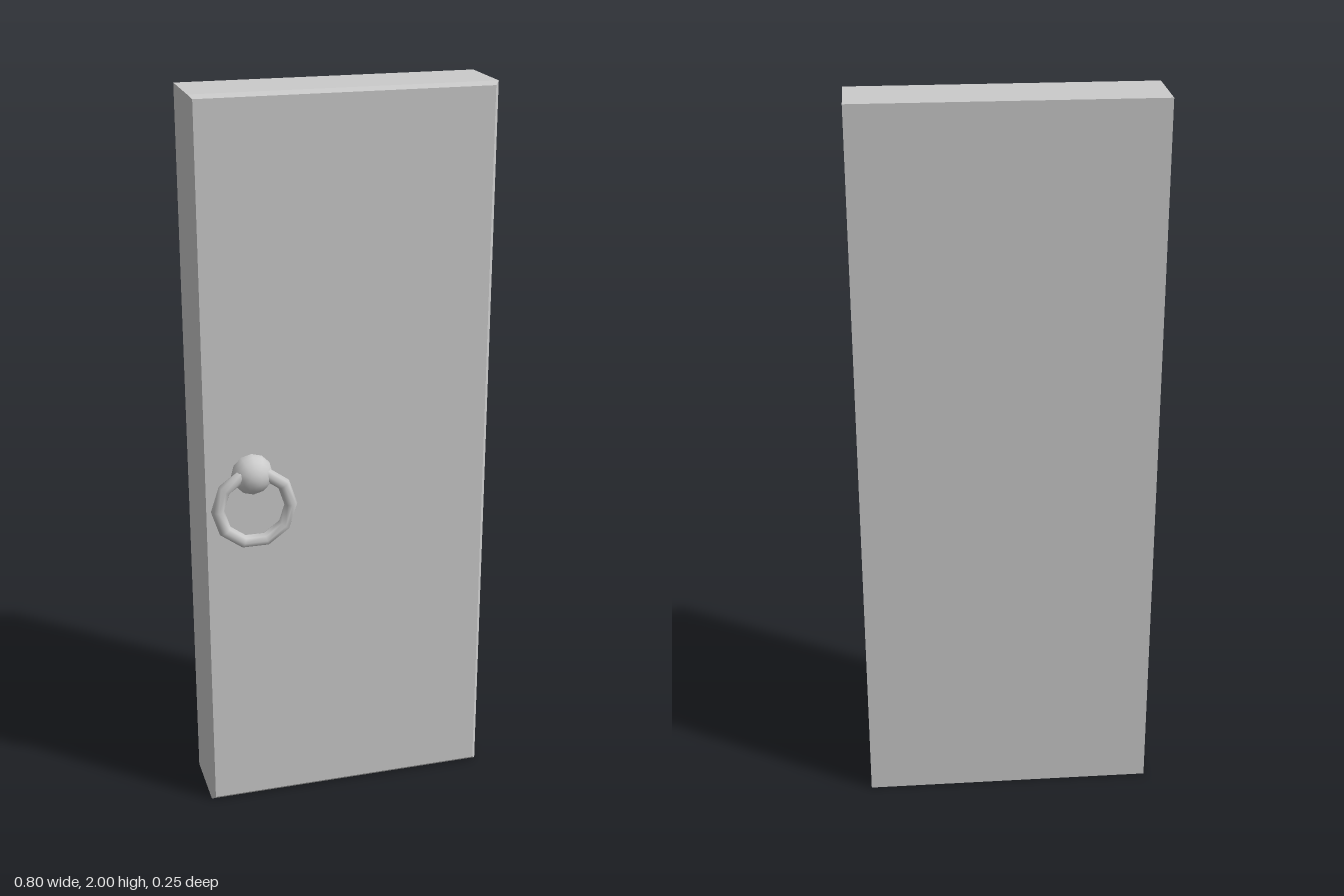
import * as THREE from 'three';

const W = 0.8, H = 2, BACK = -0.128, FRONT = 0.07, BEVEL = 0.01;
const KNOB_X = -0.264;

// Slab with a chamfer around its front face only
function doorGeometry() {
  const g = new THREE.BoxGeometry(W, H, 2, 1, 1, 2);
  const p = g.attributes.position;
  for (let i = 0; i < p.count; i++) {
    const z = p.getZ(i);
    if (z > 0.5) {
      p.setX(i, p.getX(i) - Math.sign(p.getX(i)) * BEVEL);
      p.setY(i, p.getY(i) - Math.sign(p.getY(i)) * BEVEL);
    }
    p.setZ(i, z > 0.5 ? FRONT : z < -0.5 ? BACK : FRONT - BEVEL);
  }
  g.computeVertexNormals();
  return g;
}

export function createModel() {
  const model = new THREE.Group();
  model.name = 'door';
  const flat = new THREE.MeshStandardMaterial({ color: 0xcccccc, flatShading: true });
  const smooth = new THREE.MeshStandardMaterial({ color: 0xcccccc });

  const add = (name, geometry, material, x, y, z) => {
    const mesh = new THREE.Mesh(geometry, material);
    mesh.name = name;
    mesh.position.set(x, y, z);
    model.add(mesh);
  };

  add('doorPanel', doorGeometry(), flat, 0, H / 2, 0);

  // Domed mount, its pole pointing out of the door
  const dome = new THREE.SphereGeometry(0.056, 12, 5, 0, Math.PI * 2, 0, Math.PI / 2);
  dome.rotateX(Math.PI / 2);
  add('handleMount', dome, smooth, KNOB_X, 1, FRONT);

  // Ten-sided pull ring hanging from the mount
  add('handleRing', new THREE.TorusGeometry(0.1, 0.018, 8, 10), smooth, KNOB_X, 0.912, 0.094);

  return model;
}
